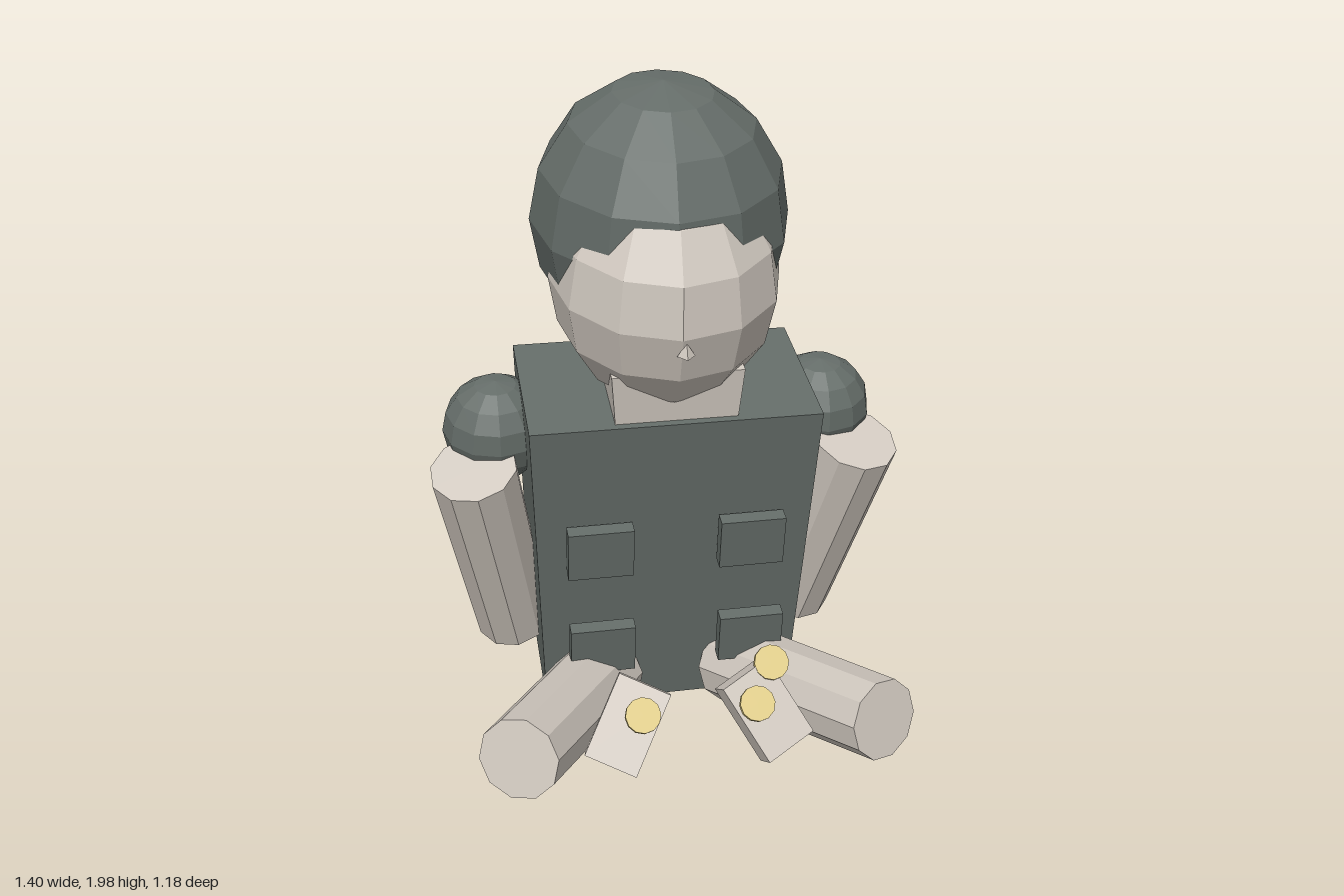
import * as THREE from 'three';

const V = (x, y, z) => new THREE.Vector3(x, y, z);

export function createModel() {
  const mat = (name, color) => {
    const m = new THREE.MeshStandardMaterial({ color, flatShading: true });
    m.name = name;
    return m;
  };
  const uniform = mat('greyGreen', 0x646c68);
  const skin = mat('paleStone', 0xd2cac1);
  const gold = mat('gold', 0xd8c47c);
  const LEAN = THREE.MathUtils.degToRad(9.8);

  const model = new THREE.Group();
  model.name = 'seatedFigure';

  const add = (name, geometry, material, pos, rx = 0, ry = 0) => {
    const mesh = new THREE.Mesh(geometry, material);
    mesh.name = name;
    mesh.position.copy(pos);
    mesh.rotation.set(rx, ry, 0);
    model.add(mesh);
    return mesh;
  };

  // Box whose width changes from bottom to top
  const taperedBox = (bottom, top, height, depth) => {
    const g = new THREE.BoxGeometry(1, height, depth);
    const p = g.attributes.position;
    for (let i = 0; i < p.count; i++) p.setX(i, p.getX(i) * (p.getY(i) > 0 ? top : bottom));
    return g;
  };

  const ellipsoid = (rx, ry, rz) => new THREE.SphereGeometry(1, 12, 8).scale(rx, ry, rz);

  // Cylinder running from point a to point b
  const limb = (name, a, b, ra, rb) => {
    const d = b.clone().sub(a);
    const mesh = add(name, new THREE.CylinderGeometry(rb, ra, d.length(), 10), skin,
      a.clone().add(b).multiplyScalar(0.5));
    mesh.quaternion.setFromUnitVectors(V(0, 1, 0), d.normalize());
  };

  // Leaning torso and neck
  add('torso', taperedBox(0.78, 0.85, 1.04, 0.49), uniform, V(0, 0.6, -0.21), LEAN);
  add('neck', taperedBox(0.35, 0.38, 0.2, 0.42), skin, V(0, 1.165, -0.1), LEAN);

  // Head with a helmet set back over it
  add('head', ellipsoid(0.335, 0.38, 0.388), skin, V(0, 1.45, -0.11), LEAN, -0.04);
  add('helmet', ellipsoid(0.375, 0.405, 0.4), uniform, V(0, 1.597, -0.187), LEAN, -0.04);
  add('nose', new THREE.ConeGeometry(0.025, 0.04, 4), skin, V(-0.005, 1.355, 0.26), LEAN);

  for (const s of [1, -1]) {
    const side = s > 0 ? 'left' : 'right';

    add(side + 'Shoulder', new THREE.SphereGeometry(0.162, 12, 8), uniform,
      V(s * 0.495, 0.957, -0.21), LEAN);
    limb(side + 'Arm', V(s * 0.465, 0.23, -0.31), V(s * 0.578, 0.9, -0.05), 0.12, 0.13);
    limb(side + 'Leg', V(s * 0.205, 0.14, -0.065), V(s * 0.523, 0.287, 0.535), 0.13, 0.12);

    // Chest pockets
    for (const [label, y] of [['Upper', 0.663], ['Lower', 0.335]]) {
      add(side + label + 'Pocket', new THREE.BoxGeometry(0.195, 0.165, 0.045), uniform,
        V(s * 0.227, y, 0.086), LEAN);
    }

    // Tilted hand block
    const up = V(-s * 0.47, 0.78, -0.41).normalize();
    const out = V(s * 0.11, 0.52, 0.85);
    const across = up.clone().cross(out).normalize();
    out.copy(across).cross(up);
    const hand = add(side + 'Hand', new THREE.BoxGeometry(0.16, 0.25, 0.085), skin,
      V(s * 0.2, 0.275, 0.41));
    hand.quaternion.setFromRotationMatrix(new THREE.Matrix4().makeBasis(across, up, out));

    // Gold buttons: one on each hand, a second on the left
    const spots = [V(s * 0.165, 0.34, 0.468)];
    if (s > 0) spots.push(V(0.227, 0.408, 0.37));
    for (const p of spots) {
      add(side + 'Button', new THREE.CylinderGeometry(0.051, 0.051, 0.02, 12), gold, p, 0.87);
    }
  }
  return model;
}
